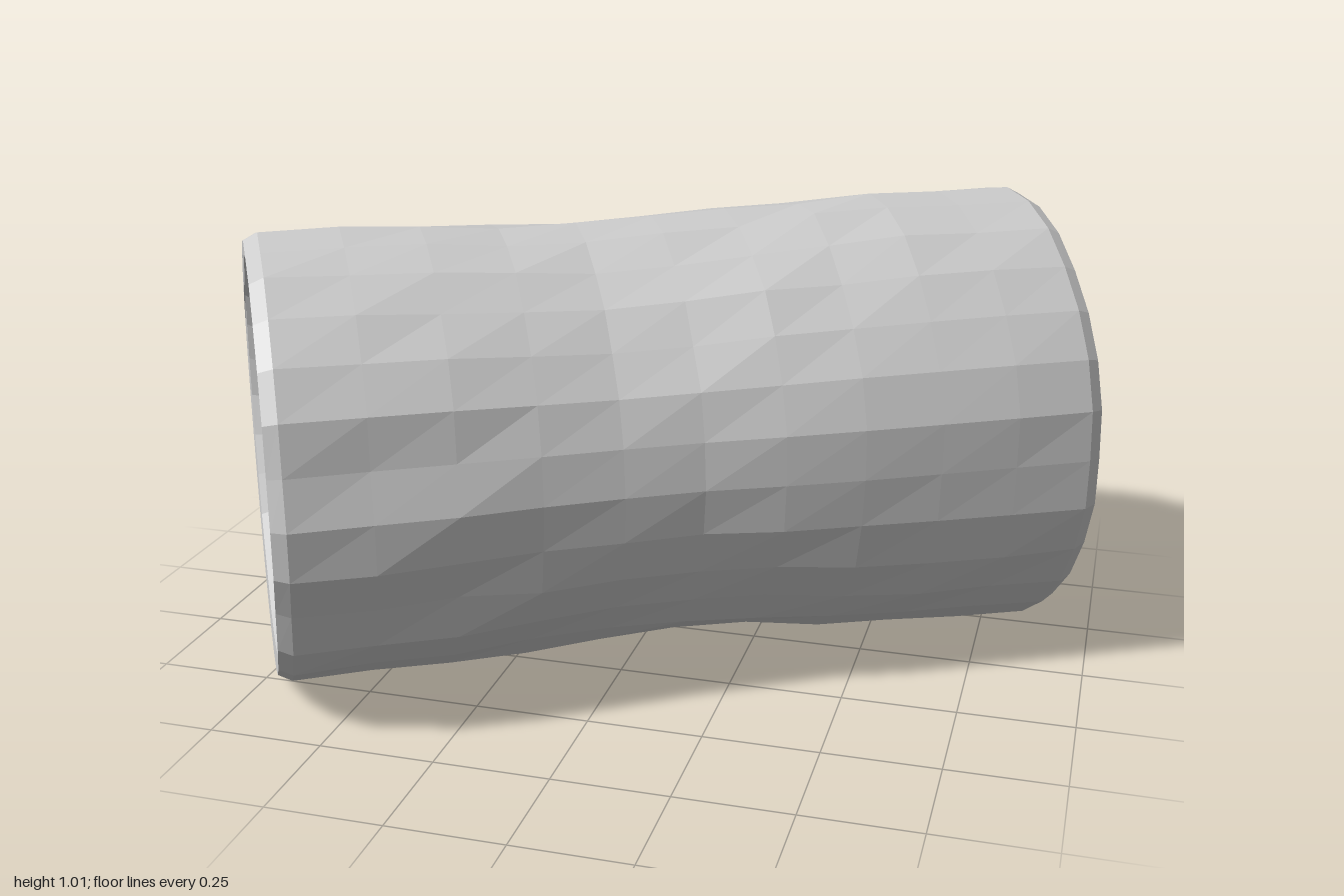
import * as THREE from 'three';

const SIDES = 28, HALF = 0.878, CENTRE_Y = 0.497;

// Outline radius at 15 even steps of angle (0 = facing side, quarter turn = up), for each cut end
const LEFT_END = [0.482, 0.487, 0.492, 0.496, 0.49, 0.455, 0.452, 0.468, 0.46, 0.476, 0.488, 0.496, 0.495, 0.492, 0.488];
const RIGHT_END = [0.49, 0.497, 0.492, 0.507, 0.497, 0.478, 0.466, 0.466, 0.475, 0.495, 0.497, 0.497, 0.522, 0.513, 0.502];

function sample(table, a) {
  const s = (a / (Math.PI * 2)) * table.length, i = Math.floor(s), n = table.length;
  return THREE.MathUtils.lerp(table[i % n], table[(i + 1) % n], s - i);
}

// Small repeatable noise in -1..1
function noise(i, j) {
  const s = Math.sin(i * 127.1 + (j % SIDES) * 311.7) * 43758.5453;
  return (s - Math.floor(s)) * 2 - 1;
}

// Smooth hollow centred at (t0, a0) of the bark
function hollow(t, a, t0, a0, depth) {
  return depth * Math.exp(-(((t - t0) / 0.22) ** 2)) * Math.max(0, Math.cos(a - a0));
}

// Bark radius at t (0 = left end, 1 = right end)
function barkRadius(t, j) {
  const a = (j % SIDES) / SIDES * Math.PI * 2;
  let r = THREE.MathUtils.lerp(sample(LEFT_END, a), sample(RIGHT_END, a), t);
  r -= hollow(t, a, 0.4, Math.PI / 2, 0.025);
  r -= hollow(t, a, 0.52, Math.PI * 1.5, 0.03);
  r -= hollow(t, a, 0.42, 0.1, 0.035);
  r -= hollow(t, a, 0.5, Math.PI, 0.012);
  const edge = Math.min(1, 12 * t * (1 - t) + 0.25);
  r += noise(Math.round(t * 10), j) * 0.007 * edge;
  // split bark grooves near the left end
  if (t < 0.25 && (j % SIDES === 1 || j % SIDES === 26)) r -= 0.018;
  if (t < 0.2 && j % SIDES === 6) r -= 0.012;
  return r;
}

// Faceted skin across a list of rings, each { x, r(j) }
function loft(rings) {
  const pos = [];
  const point = (ring, j) => {
    const a = j / SIDES * Math.PI * 2, r = ring.r(j);
    return [ring.x, Math.sin(a) * r, Math.cos(a) * r];
  };
  for (let i = 0; i < rings.length - 1; i++) {
    for (let j = 0; j < SIDES; j++) {
      const a = point(rings[i], j), b = point(rings[i + 1], j);
      const c = point(rings[i + 1], j + 1), d = point(rings[i], j + 1);
      if (rings[i + 1].r(j) > 0) pos.push(...a, ...b, ...c);
      else pos.push(...a, ...b, ...d);
      if (rings[i].r(j) > 0 && rings[i + 1].r(j) > 0) pos.push(...a, ...c, ...d);
    }
  }
  const geo = new THREE.BufferGeometry();
  geo.setAttribute('position', new THREE.Float32BufferAttribute(pos, 3));
  geo.computeVertexNormals();
  return geo;
}

export function createModel() {
  const model = new THREE.Group();
  model.name = 'log';
  const wood = new THREE.MeshStandardMaterial({ color: 0xcccccc });
  wood.name = 'pale grey wood';

  const add = (name, rings) => {
    const mesh = new THREE.Mesh(loft(rings), wood);
    mesh.name = name;
    model.add(mesh);
  };

  // Bark, running between the bevelled ends
  const bark = [];
  for (let i = 0; i <= 10; i++) {
    const t = i / 10;
    bark.push({ x: (t * 2 - 1) * (HALF - 0.03), r: j => barkRadius(t, j) });
  }
  add('bark', bark);

  // Bevelled rim and slightly sunken cut face at both ends
  for (const side of [-1, 1]) {
    const t = side < 0 ? 0 : 1;
    const inner = j => 0.415 + noise(40 + side, j) * 0.006;
    const rim = [
      { x: side * (HALF - 0.03), r: j => barkRadius(t, j) },
      { x: side * HALF, r: j => barkRadius(t, j) - 0.016 },
      { x: side * (HALF - 0.003), r: j => inner(j) + 0.014 },
      { x: side * (HALF - 0.02), r: inner },
    ];
    const face = [rim[3], { x: side * (HALF - 0.016), r: () => 0 }];
    const label = side < 0 ? 'right' : 'left';
    add(label + 'Rim', side < 0 ? rim.reverse() : rim);
    add(label + 'CutFace', side < 0 ? face.reverse() : face);
  }

  // Lay the log diagonally on the ground
  model.rotation.y = Math.PI / 6;
  model.position.y = CENTRE_Y;
  return model;
}
